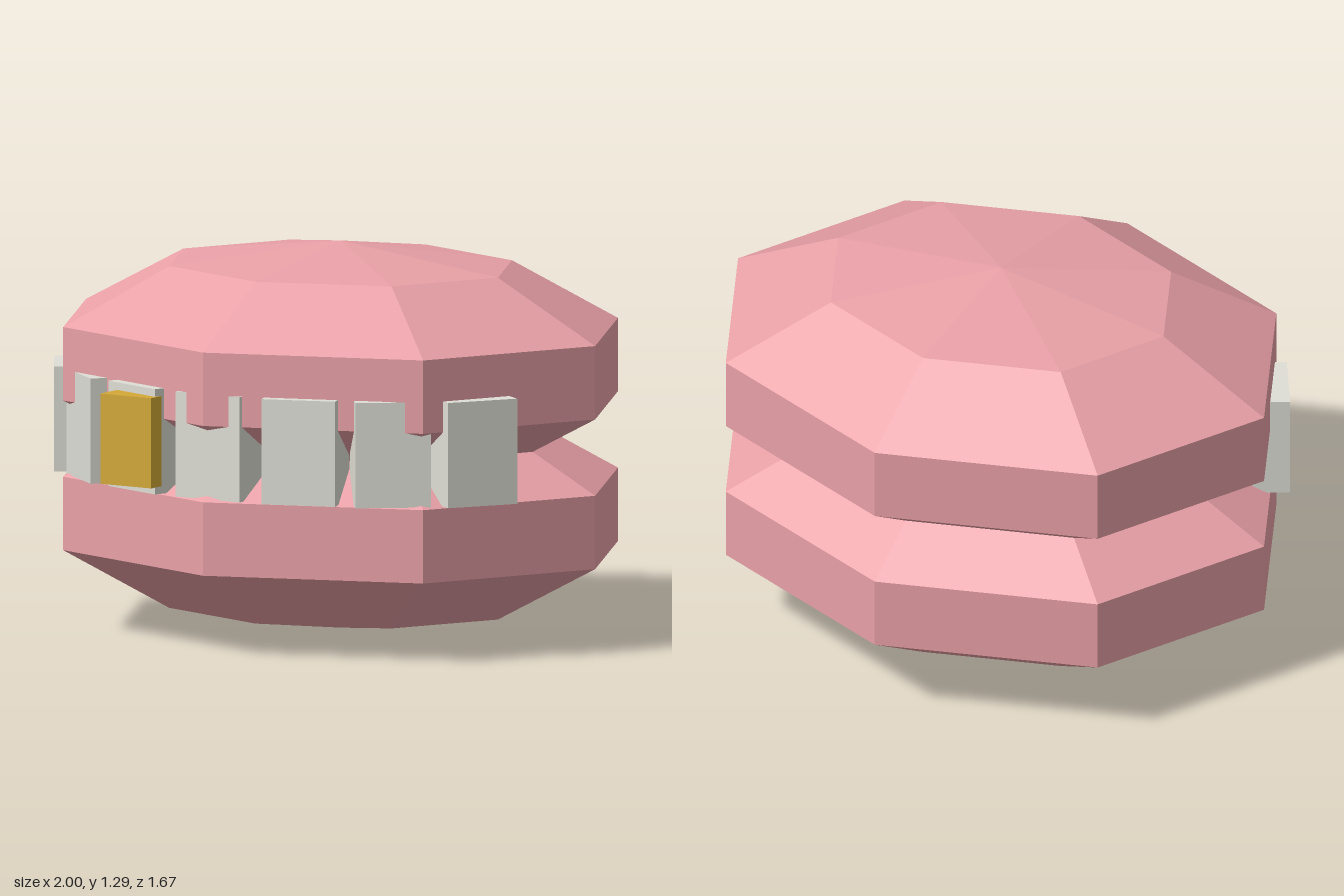
import * as THREE from 'three';

const gum = new THREE.MeshStandardMaterial({ color: 0xe8a0a6, flatShading: true });
const enamel = new THREE.MeshStandardMaterial({ color: 0xdeded6, flatShading: true });
const gold = new THREE.MeshStandardMaterial({ color: 0xd4a937, flatShading: true });

export function createModel() {
  const model = new THREE.Group();
  model.name = 'chatteringTeeth';

  const add = (name, geometry, material, x, y, z) => {
    const mesh = new THREE.Mesh(geometry, material);
    mesh.name = name;
    mesh.position.set(x, y, z);
    model.add(mesh);
    return mesh;
  };

  // Two squashed low-poly spheres that overlap at the waist
  const shell = new THREE.SphereGeometry(1, 8, 5);
  for (const [name, y] of [['lowerGum', 0.397], ['upperGum', 0.895]]) {
    add(name, shell, gum, 0, y, -0.003).scale.set(1.0515, 0.395, 0.874);
  }

  // Seven teeth fanned along an elliptical arc at the front
  const toothShape = new THREE.BoxGeometry(0.25, 0.35, 0.2);
  for (let i = -3; i <= 3; i++) {
    const angle = i / 3;
    const tooth = add('tooth' + (i + 4), toothShape, enamel,
      0.9 * Math.sin(angle), 0.7, 0.7 * Math.cos(angle));
    tooth.rotation.y = angle;
  }

  // Gold cap on the tooth right of the middle
  add('goldTooth', new THREE.BoxGeometry(0.2, 0.3, 0.15), gold, -0.3, 0.7, 0.758);

  return model;
}
